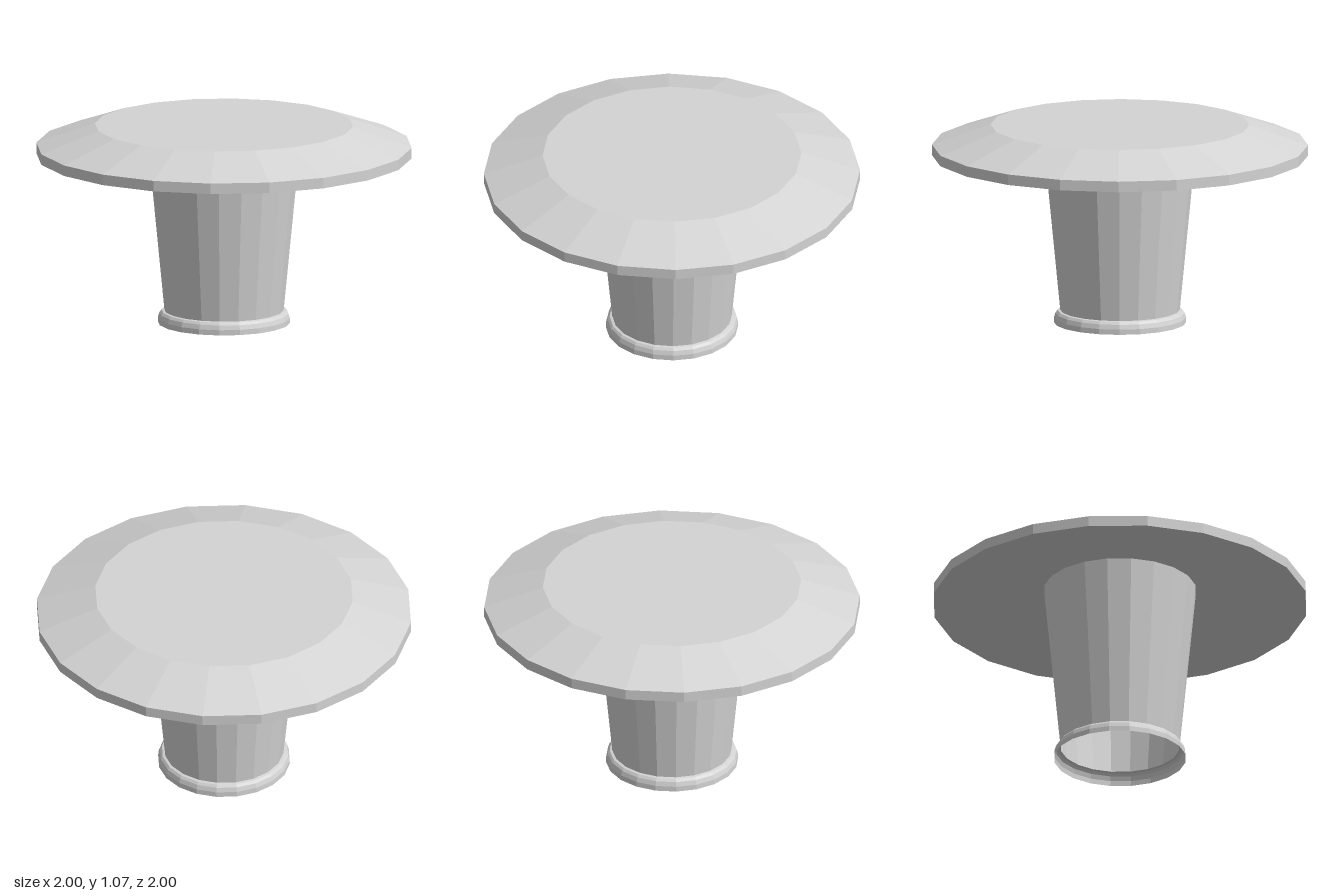
import * as THREE from 'three';

const SIDES = 20;

// Faceted surface of revolution from [radius, height] pairs, listed bottom to top
function turned(name, profile, material) {
  const points = profile.map(([r, y]) => new THREE.Vector2(r, y));
  const mesh = new THREE.Mesh(new THREE.LatheGeometry(points, SIDES), material);
  mesh.name = name;
  return mesh;
}

export function createModel() {
  const group = new THREE.Group();
  group.name = 'pedestalTable';

  const grey = new THREE.MeshStandardMaterial({
    color: 0xd4d4d4, flatShading: true, side: THREE.DoubleSide,
  });
  grey.name = 'plain grey';

  // Thin rounded foot, open underneath, running into a hollow stem that widens upwards
  group.add(turned('footAndStem', [
    [0.352, 0], [0.351, 0.028], [0.343, 0.052], [0.332, 0.065], [0.318, 0.068],
    [0.407, 0.985],
  ], grey));

  // Disc with a shallow hollow underside, short rim, sloping shoulder and flat top
  group.add(turned('top', [
    [0.407, 0.985], [1, 0.903], [1, 0.96], [0.688, 1.07], [0, 1.07],
  ], grey));

  return group;
}
